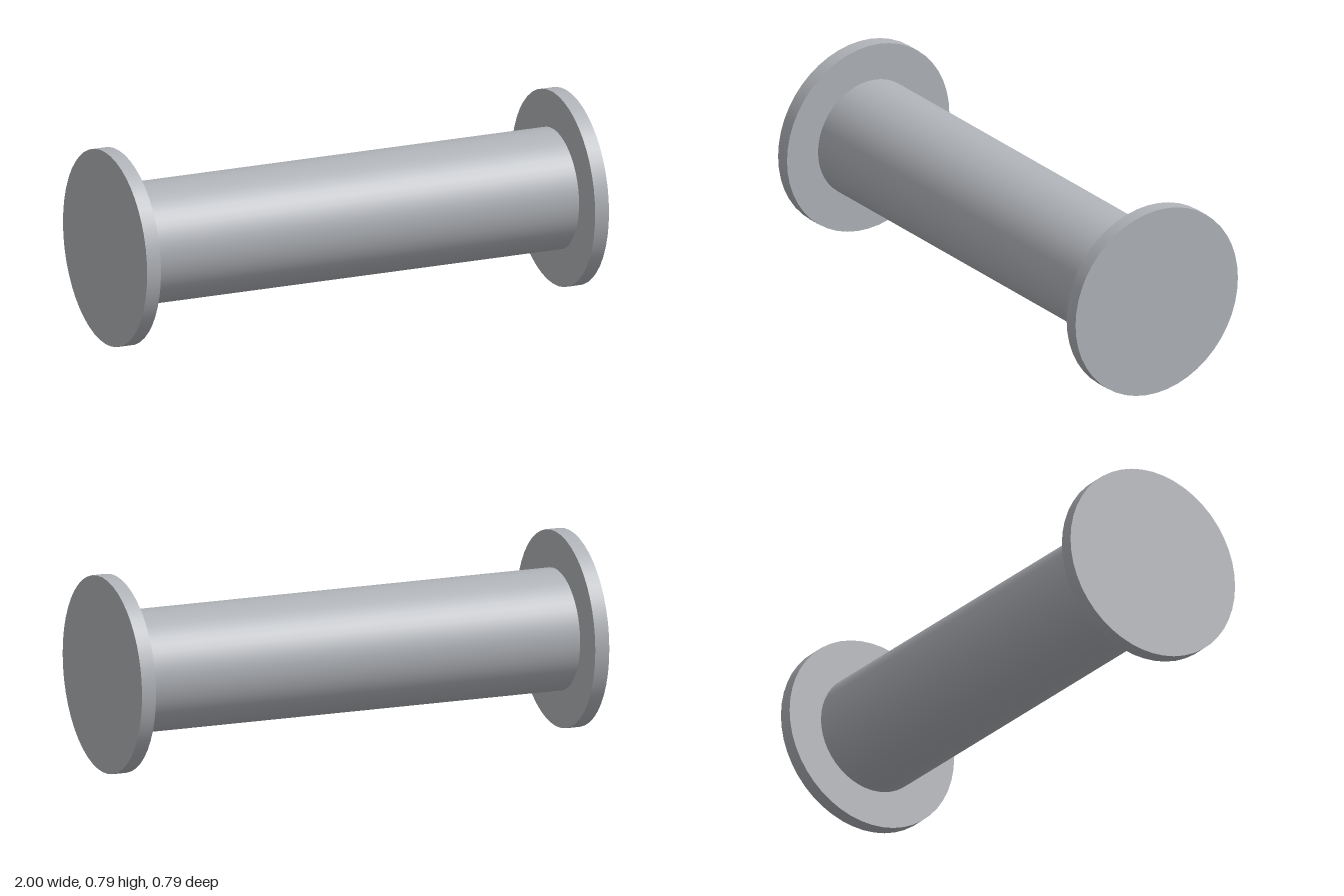
import * as THREE from 'three';

const FLANGE_RADIUS = 0.393;
const FLANGE_WIDTH = 0.06;
const BARREL_RADIUS = 0.243;
const SIDES = 48;

export function createModel() {
  const group = new THREE.Group();
  group.name = 'spool';
  const steel = new THREE.MeshStandardMaterial({ color: 0xb0b3b8 });
  steel.name = 'greySteel';

  // Cylinder lying along x, resting at flange height
  const addCylinder = (name, radius, length, x) => {
    const geometry = new THREE.CylinderGeometry(radius, radius, length, SIDES);
    geometry.rotateZ(Math.PI / 2);
    const mesh = new THREE.Mesh(geometry, steel);
    mesh.name = name;
    mesh.position.set(x, FLANGE_RADIUS, 0);
    group.add(mesh);
  };

  // Central barrel between the flanges
  addCylinder('barrel', BARREL_RADIUS, 2 - 2 * FLANGE_WIDTH, 0);

  // End discs
  for (const [name, side] of [['leftFlange', 1], ['rightFlange', -1]]) {
    addCylinder(name, FLANGE_RADIUS, FLANGE_WIDTH, side * (1 - FLANGE_WIDTH / 2));
  }
  return group;
}
